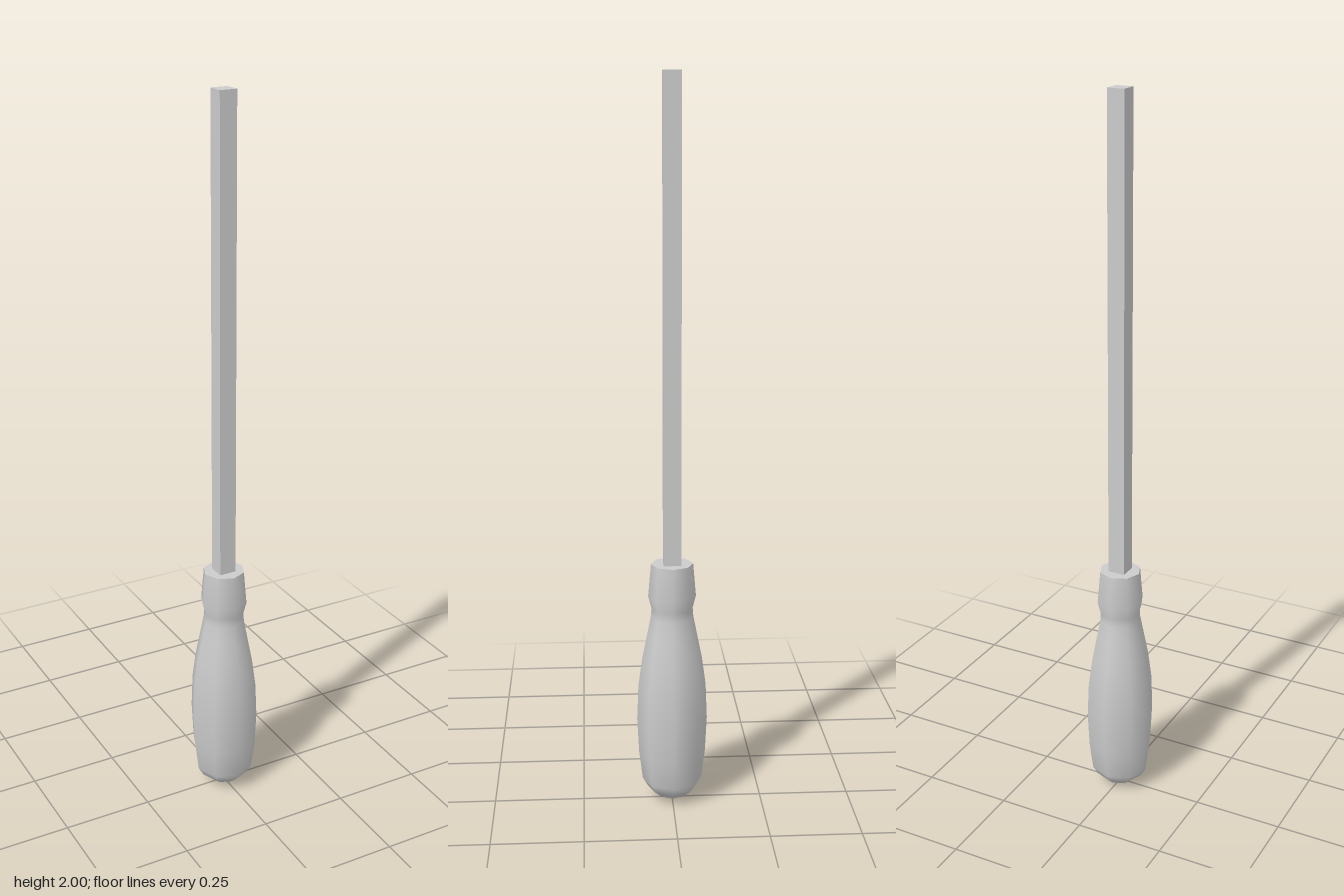
import * as THREE from 'three';

const material = new THREE.MeshStandardMaterial({ color: 0xcccccc });

export function createModel() {
  const group = new THREE.Group();
  group.name = 'screwdriver';

  // Eight-sided handle: rounded butt, swelling grip, narrow neck, collar.
  // The doubled point keeps the rim of the flat top sharp.
  const profile = [
    [0, 0], [0.045, 0.015], [0.068, 0.035], [0.083, 0.06],
    [0.093, 0.14], [0.098, 0.24], [0.094, 0.34], [0.083, 0.42],
    [0.068, 0.495], [0.059, 0.54], [0.057, 0.565], [0.066, 0.6],
    [0.058, 0.693], [0.058, 0.693], [0, 0.693],
  ].map(([r, y]) => new THREE.Vector2(r, y));
  const handle = new THREE.Mesh(new THREE.LatheGeometry(profile, 8), material);
  handle.name = 'handle';
  group.add(handle);

  // Square shaft, seated slightly inside the handle
  const bottom = 0.67, top = 2;
  const shaft = new THREE.Mesh(new THREE.BoxGeometry(0.048, top - bottom, 0.048, 2, 1, 2), material);
  shaft.name = 'shaft';
  shaft.position.y = (bottom + top) / 2;
  group.add(shaft);

  return group;
}
